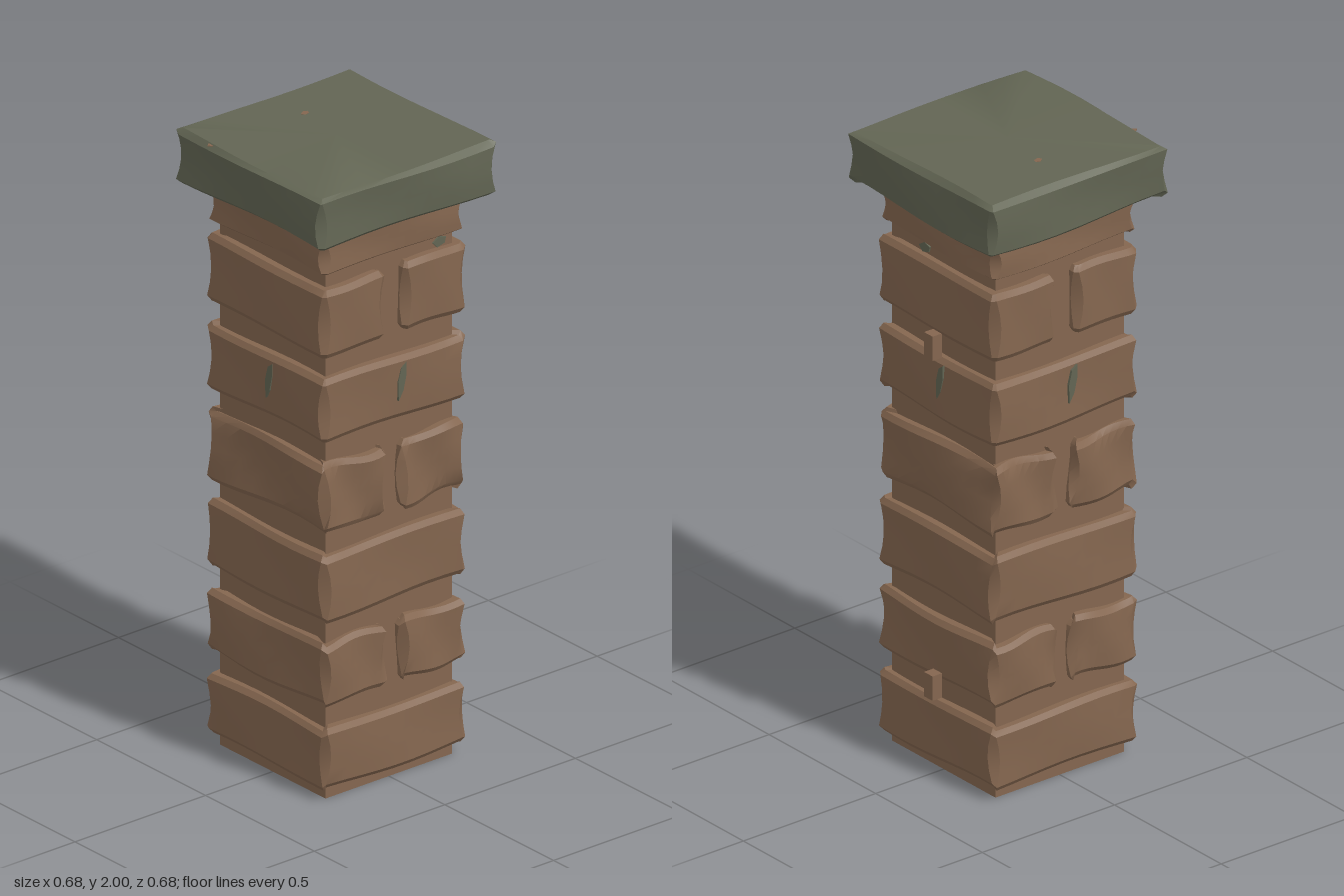
import * as THREE from 'three';
import { toCreasedNormals } from 'three/addons/utils/BufferGeometryUtils.js';

const brick = new THREE.MeshStandardMaterial({ color: 0x84664f });
brick.name = 'brown stone';
const slate = new THREE.MeshStandardMaterial({ color: 0x626553 });
slate.name = 'grey green slate';

// Worn block: stacked chamfered rings with gently wavy sides.
// o: x0, x1, z0, z1, y0, y1, plus wear (side waves), bevel, wave (uneven top and bottom), seed
function wornBlock(o) {
  const { x0, x1, z0, z1, y0, y1, seed, wear = 0.008, bevel = 0.012, wave = 0.006, flatTop = false } = o;
  const levels = [0, 0.08, 0.29, 0.5, 0.71, 0.92, 1];
  const n = 8;
  const rings = levels.map((t, k) => {
    const end = k === 0 || k === levels.length - 1;
    const inset = end ? bevel : 0;
    const c = 0.01 + 0.02 * Math.sin(Math.PI * t);
    const a0 = x0 + inset, a1 = x1 - inset, b0 = z0 + inset, b1 = z1 - inset;
    // front, right, back, left: start, end, outward direction
    const sides = [
      [a0 + c, b1, a1 - c, b1, 0, 1],
      [a1, b1 - c, a1, b0 + c, 1, 0],
      [a1 - c, b0, a0 + c, b0, 0, -1],
      [a0, b0 + c, a0, b1 - c, -1, 0],
    ];
    const ring = [];
    sides.forEach(([sx, sz, ex, ez, nx, nz], s) => {
      for (let i = 0; i <= n; i++) {
        const u = i / n;
        const d = -wear * (0.5 + 0.5 * Math.sin(u * 5 + t * 3.3 + seed * 1.7 + s * 2.1));
        const lift = flatTop && t === 1 ? 0 : wave * Math.sin(u * 4.4 + seed * 2.3 + s * 1.3);
        ring.push([sx + (ex - sx) * u + nx * d, y0 + (y1 - y0) * t + lift, sz + (ez - sz) * u + nz * d]);
      }
    });
    return ring;
  });

  const pos = [];
  const tri = (a, b, c) => pos.push(...a, ...b, ...c);
  const low = rings[0], high = rings[rings.length - 1], count = low.length;
  const cx = (x0 + x1) / 2, cz = (z0 + z1) / 2;
  for (let i = 0; i < count; i++) {
    const j = (i + 1) % count;
    for (let k = 0; k < rings.length - 1; k++) {
      tri(rings[k][i], rings[k][j], rings[k + 1][j]);
      tri(rings[k][i], rings[k + 1][j], rings[k + 1][i]);
    }
    tri([cx, y1, cz], high[i], high[j]);
    tri([cx, y0, cz], low[j], low[i]);
  }
  const g = new THREE.BufferGeometry();
  g.setAttribute('position', new THREE.Float32BufferAttribute(pos, 3));
  g.computeVertexNormals();
  return toCreasedNormals(g, 0.5);
}

// Thin irregular chip, drawn flat and facing +z
function chip(points, depth = 0.008) {
  const shape = new THREE.Shape(points.map(([x, y]) => new THREE.Vector2(x, y)));
  return new THREE.ExtrudeGeometry(shape, { depth, bevelEnabled: false });
}

export function createModel() {
  const root = new THREE.Group();
  root.name = 'stonePillar';
  const add = (name, geometry, material, parent = root) => {
    const m = new THREE.Mesh(geometry, material);
    m.name = name;
    parent.add(m);
    return m;
  };

  // Mortar core
  add('core', new THREE.BoxGeometry(0.485, 1.84, 0.485), brick).position.y = 0.92;

  // Full courses
  const R = 0.277;
  [[0.04, 0.235], [0.585, 0.8], [1.167, 1.37]].forEach(([y0, y1], i) => {
    add('fullCourse', wornBlock({ x0: -R, x1: R, z0: -R, z1: R, y0, y1, seed: i + 1 }), brick);
  });

  // Split courses: two stones with a joint at front and back
  [[0.31, 0.51, 0.012], [0.87, 1.09, 0.02], [1.445, 1.665, 0.005]].forEach(([y0, y1, wear], i) => {
    const gap = i === 2 ? 0.033 : 0.022;
    const common = { z0: -R, z1: R, y0, y1, wear, wave: i === 2 ? 0.003 : 0.008 };
    add('splitCourseRight', wornBlock({ ...common, x0: -R, x1: -gap, seed: i + 5 }), brick);
    add('splitCourseLeft', wornBlock({ ...common, x0: gap, x1: R, seed: i + 9 }), brick);
  });

  // Collar below the cap
  add('collar', wornBlock({ x0: -0.272, x1: 0.272, z0: -0.272, z1: 0.272, y0: 1.71, y1: 1.82, seed: 14, wave: 0.004 }), brick);

  // Cap slab
  add('cap', wornBlock({
    x0: -0.342, x1: 0.342, z0: -0.342, z1: 0.342, y0: 1.832, y1: 2,
    seed: 3, wear: 0.012, bevel: 0.016, wave: 0.006, flatTop: true,
  }), slate);

  // Pegs on the left side
  [0.29, 1.407].forEach((y) => {
    add('peg', new THREE.BoxGeometry(0.036, 0.08, 0.04), brick).position.set(0.283, y, 0);
  });

  // Slate-coloured chips on every side
  const leaf = [[-0.006, -0.06], [0.012, -0.03], [0.024, 0.02], [0.024, 0.06], [0.004, 0.045], [-0.008, 0]];
  const smallChip = [[-0.025, 0], [-0.008, -0.018], [0.02, -0.01], [0.025, 0.008], [0, 0.016]];
  for (let s = 0; s < 4; s++) {
    const side = new THREE.Group();
    side.name = 'sideChips';
    side.rotation.y = s * Math.PI / 2;
    root.add(side);
    add('leafChip', chip(leaf), slate, side).position.set(0.015, 1.29, 0.27);
    if (s < 2) add('smallChip', chip(smallChip), slate, side).position.set(s ? -0.085 : 0.19, 1.685, 0.24);
  }

  // Brown spots on top of the cap
  const spot = [[-0.014, 0], [-0.004, -0.011], [0.012, -0.006], [0.015, 0.006], [0.002, 0.012]];
  [[0.023, -0.172], [-0.322, -0.188]].forEach(([x, z]) => {
    const m = add('capSpot', chip(spot, 0.003), brick);
    m.rotation.x = -Math.PI / 2;
    m.position.set(x, x < -0.3 ? 1.994 : 1.998, z);
  });

  return root;
}
